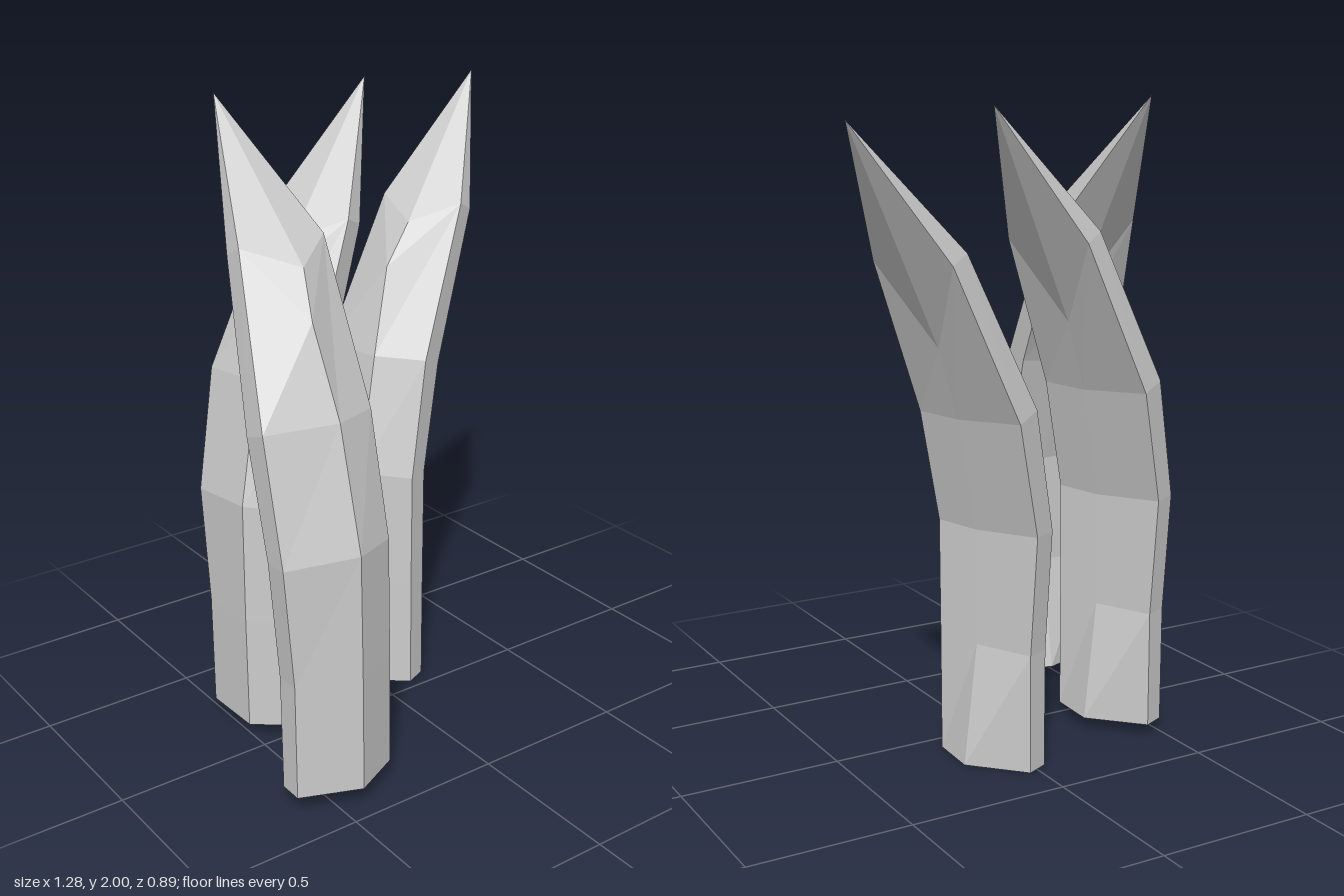
import * as THREE from 'three';

// Each ring is a six-sided section: right and left half-widths, then
// [depth, height] of the outer ridge, outer corners, inner corners, inner ridge.
const RINGS = [
  { r: 0.15, l: -0.185, p: [[0, 0], [0.075, 0], [0.15, 0], [0.22, 0]] },
  { r: 0.15, l: -0.185, p: [[0, 0.37], [0.075, 0.37], [0.153, 0.37], [0.157, 0.37]] },
  { r: 0.15, l: -0.21, p: [[0.005, 0.76], [0.08, 0.745], [0.158, 0.74], [0.16, 0.73]] },
  { r: 0.15, l: -0.21, p: [[0.1, 1.13], [0.165, 1.12], [0.248, 1.09], [0.25, 1.08]] },
  { r: 0.15, l: -0.13, p: [[0.206, 1.395], [0.39, 1.58], [0.455, 1.55], [0.34, 1.3]], ridge: -0.015 },
];

function clawGeometry() {
  const pos = [];
  const tri = (...pts) => pts.forEach((p) => pos.push(...p));
  const at = (u, [depth, h]) => [u, h, -depth];

  const rings = RINGS.map(({ r, l, p, ridge = 0 }) => [
    at(ridge, p[0]), at(r, p[1]), at(r, p[2]), at(0.01, p[3]), at(l, p[2]), at(l, p[1]),
  ]);

  // Sides between neighbouring sections
  for (let k = 0; k < rings.length - 1; k++) {
    const a = rings[k], b = rings[k + 1];
    for (let i = 0; i < 6; i++) {
      const j = (i + 1) % 6;
      tri(a[i], a[j], b[j]);
      tri(a[i], b[j], b[i]);
    }
  }

  // Pointed end, with one extra point along the outer ridge
  const top = rings[rings.length - 1];
  const tip = at(0.007, [0.73, 1.94]);
  const mid = at(0.015, [0.29, 1.525]);
  for (let i = 1; i < 5; i++) tri(top[i], top[i + 1], tip);
  tri(top[0], top[1], mid);
  tri(mid, top[1], tip);
  tri(top[5], top[0], mid);
  tri(top[5], mid, tip);

  // Flat base
  const base = rings[0];
  for (let i = 1; i < 5; i++) tri(base[0], base[i + 1], base[i]);

  const geo = new THREE.BufferGeometry();
  geo.setAttribute('position', new THREE.Float32BufferAttribute(pos, 3));
  geo.computeVertexNormals();
  return geo;
}

export function createModel() {
  const group = new THREE.Group();
  group.name = 'claws';
  const geo = clawGeometry();
  const mat = new THREE.MeshStandardMaterial({ color: 0xcccccc, flatShading: true });

  // One claw faces the front, the other two are turned to the side
  const turn = THREE.MathUtils.degToRad(-66);
  const claws = [
    ['frontClaw', -0.435, 0.06, 0.45, 0],
    ['middleClaw', -0.505, 0.035, -0.08, turn],
    ['sideClaw', -0.03, 0, -0.139, turn],
  ];
  for (const [name, x, y, z, angle] of claws) {
    const claw = new THREE.Mesh(geo, mat);
    claw.name = name;
    claw.position.set(x, y, z);
    claw.rotation.y = angle;
    group.add(claw);
  }
  return group;
}
